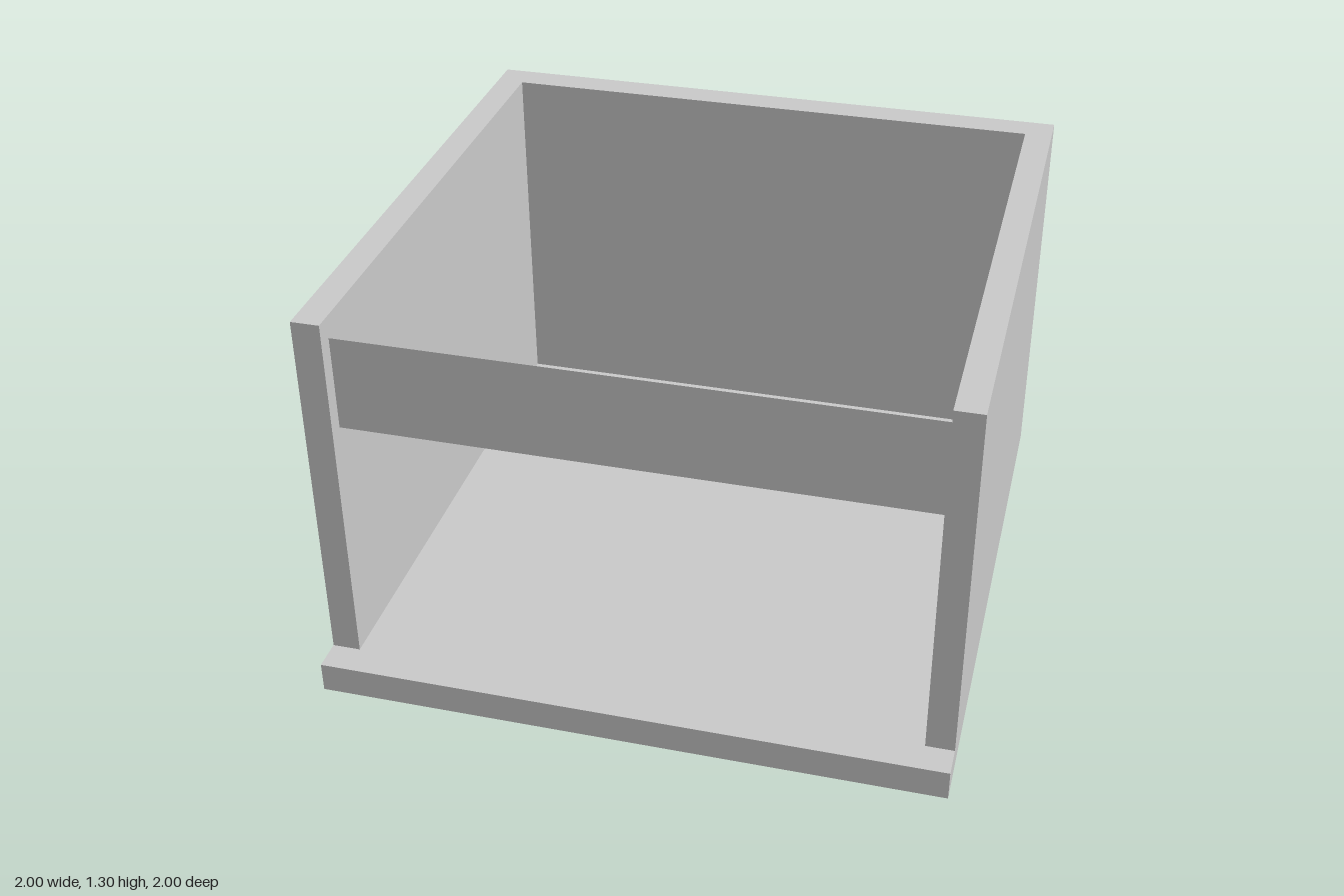
import * as THREE from 'three';

const material = new THREE.MeshStandardMaterial({ color: 0xcccccc });
const thinMaterial = new THREE.MeshStandardMaterial({ color: 0xcccccc, side: THREE.DoubleSide });

const FLOOR = 0.1;    // floor thickness
const HEIGHT = 1.3;   // top of the walls
const INNER = 0.91;   // inner half width
const FRONT = 0.9;    // front ends of the side walls

export function createModel() {
  const group = new THREE.Group();
  const add = (name, geometry, mat, x, y, z) => {
    const mesh = new THREE.Mesh(geometry, mat);
    mesh.name = name;
    mesh.position.set(x, y, z);
    group.add(mesh);
    return mesh;
  };

  // Floor slab, projecting as a lip at the front
  add('floor', new THREE.BoxGeometry(2, FLOOR, 2), material, 0, FLOOR / 2, 0);

  // U-shaped back and side walls; plan drawn as (x, -z) and raised upward
  const plan = new THREE.Shape([
    [-1, -FRONT], [-INNER, -FRONT], [-INNER, 0.9], [INNER, 0.9],
    [INNER, -FRONT], [1, -FRONT], [1, 1], [-1, 1],
  ].map(([x, y]) => new THREE.Vector2(x, y)));
  const walls = new THREE.ExtrudeGeometry(plan, { depth: HEIGHT - FLOOR, bevelEnabled: false });
  walls.rotateX(-Math.PI / 2);
  add('walls', walls, material, 0, FLOOR, 0);

  // Thin rail across the open front
  add('frontRail', new THREE.PlaneGeometry(2 * INNER, 0.31), thinMaterial, 0, 1.075, 0.85);

  return group;
}
